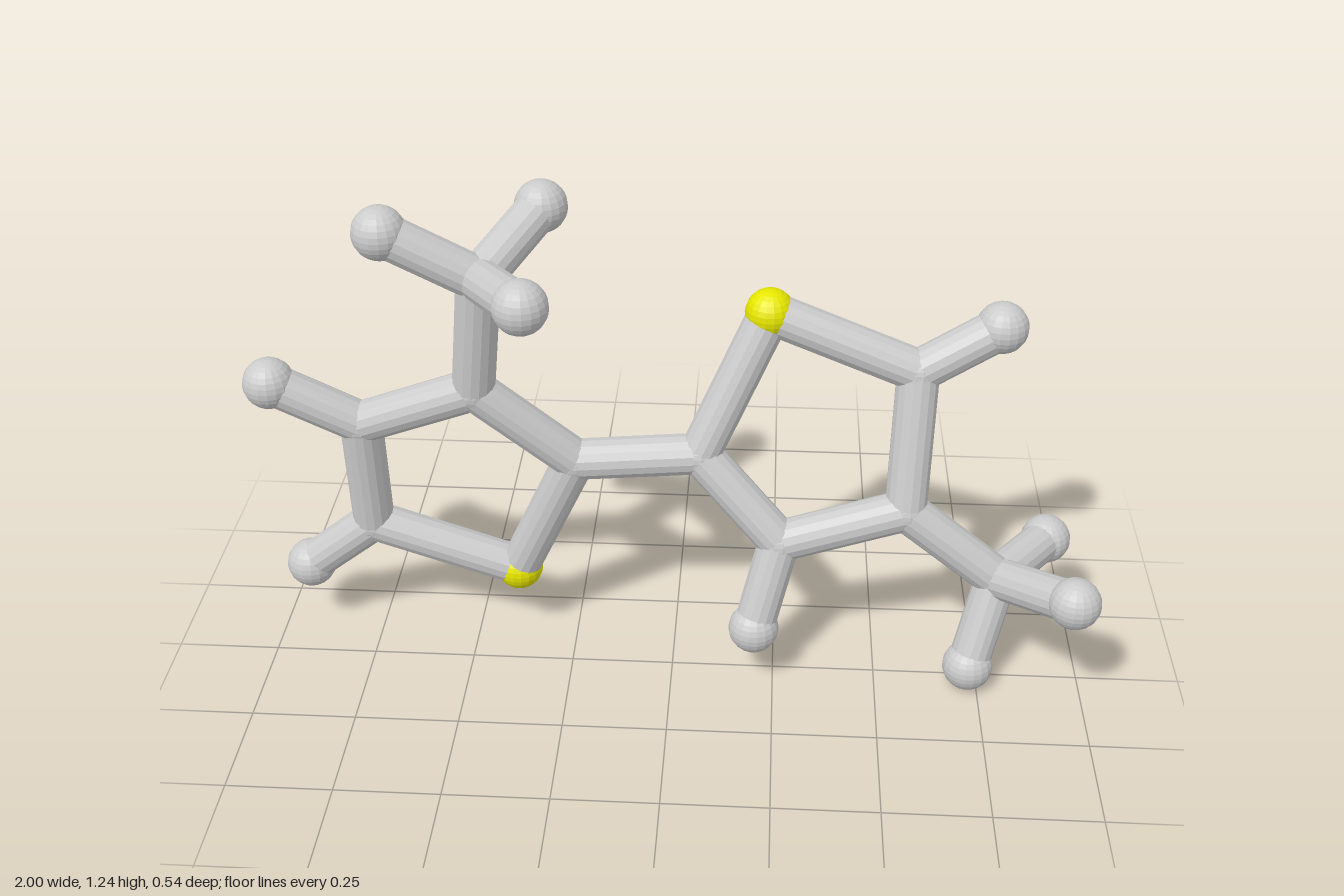
import * as THREE from 'three';

const grey = new THREE.MeshStandardMaterial({ color: 0xcccccc, flatShading: true });
const yellow = new THREE.MeshStandardMaterial({ color: 0xe6e600, flatShading: true });

const ROD = 0.05, JOINT = 0.051, BALL = 0.061, SULFUR = 0.058;

// Atom centres: C = ring or methyl carbon, S = sulfur, H = end ball
const atoms = {
  // ring on the right-hand side (-x)
  C1: [-0.74, 0.645, -0.065], C2: [-0.745, 0.335, -0.105], S1: [-0.39, 0.205, -0.115],
  C3: [-0.235, 0.56, -0.065], C4: [-0.46, 0.765, -0.03],
  H1: [-0.94, 0.76, -0.04], H2: [-0.92, 0.19, -0.12],
  // upper methyl group
  C5: [-0.425, 1.07, 0.01],
  H3: [-0.63, 1.185, 0.03], H4: [-0.305, 1.165, -0.17], H5: [-0.305, 1.11, 0.21],
  // ring on the left-hand side (+x)
  C6: [0.06, 0.59, -0.06], S2: [0.215, 0.93, -0.135], C7: [0.56, 0.8, -0.115],
  C8: [0.55, 0.465, -0.035], C9: [0.255, 0.385, -0.005],
  H6: [0.745, 0.9, -0.15], H7: [0.2, 0.165, 0.05],
  // lower methyl group
  C10: [0.78, 0.285, -0.025],
  H8: [0.935, 0.355, 0.16], H9: [0.92, 0.275, -0.21], H10: [0.725, 0.065, 0.04],
};

const bonds = [
  'C1-C2', 'C2-S1', 'S1-C3', 'C3-C4', 'C4-C1', 'C1-H1', 'C2-H2',
  'C4-C5', 'C5-H3', 'C5-H4', 'C5-H5',
  'C3-C6',
  'C6-S2', 'S2-C7', 'C7-C8', 'C8-C9', 'C9-C6', 'C7-H6', 'C9-H7',
  'C8-C10', 'C10-H8', 'C10-H9', 'C10-H10',
];

const kinds = {
  C: { name: 'carbonJoint', radius: JOINT, material: grey },
  S: { name: 'sulfurBall', radius: SULFUR, material: yellow },
  H: { name: 'hydrogenBall', radius: BALL, material: grey },
};

// Straight rod between two points
function rod(a, b) {
  const from = new THREE.Vector3(...a), to = new THREE.Vector3(...b);
  const dir = to.clone().sub(from);
  const mesh = new THREE.Mesh(new THREE.CylinderGeometry(ROD, ROD, dir.length(), 16), grey);
  mesh.position.copy(from).add(to).multiplyScalar(0.5);
  mesh.quaternion.setFromUnitVectors(new THREE.Vector3(0, 1, 0), dir.normalize());
  mesh.name = 'bondRod';
  return mesh;
}

export function createModel() {
  const model = new THREE.Group();
  model.name = 'molecule';

  // Balls and joints
  for (const [id, position] of Object.entries(atoms)) {
    const { name, radius, material } = kinds[id[0]];
    const ball = new THREE.Mesh(new THREE.SphereGeometry(radius, 18, 14), material);
    ball.position.set(...position);
    ball.name = name;
    model.add(ball);
  }

  // Bonds
  for (const bond of bonds) {
    const [a, b] = bond.split('-');
    model.add(rod(atoms[a], atoms[b]));
  }
  return model;
}
